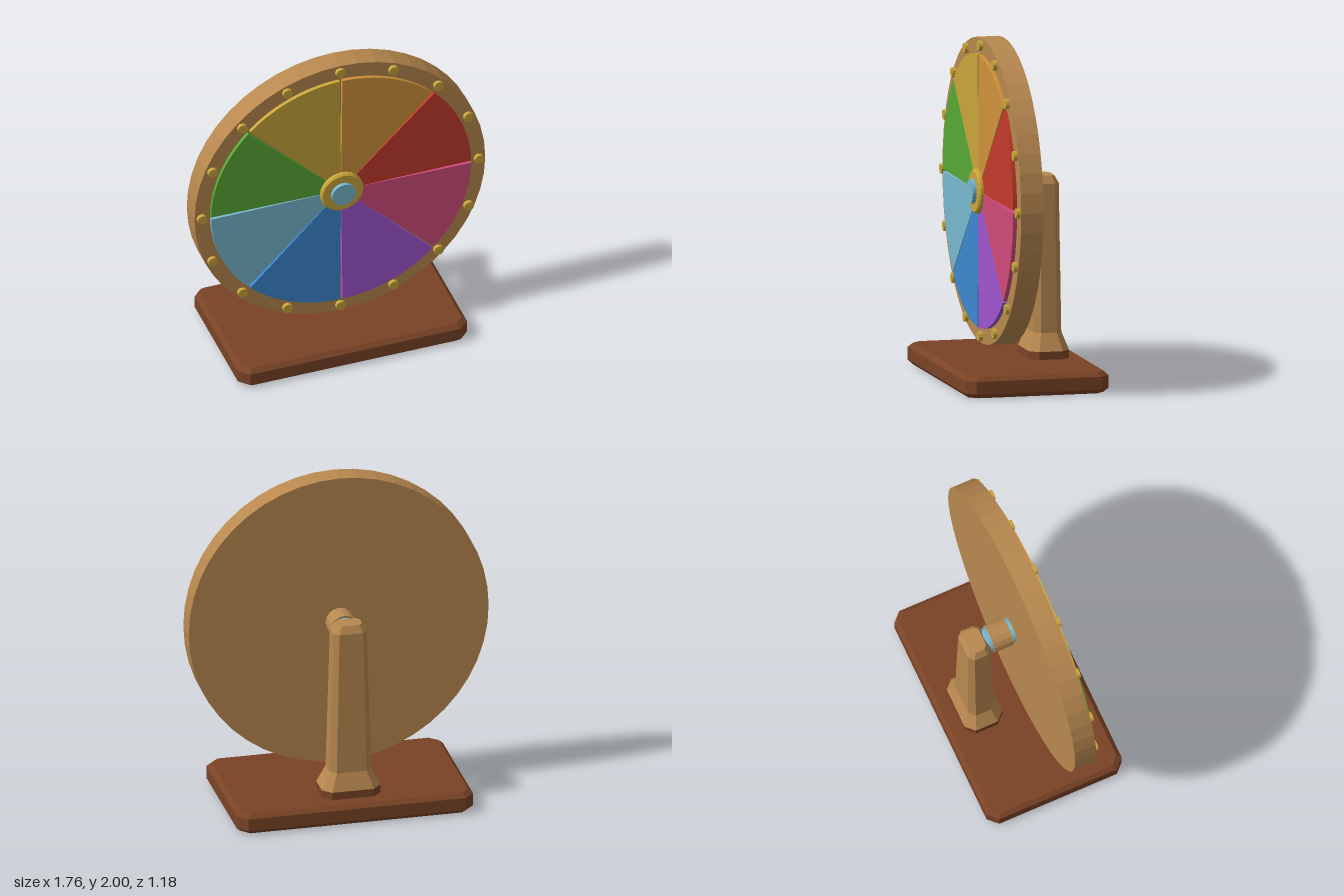
import * as THREE from 'three';

const mat = (name, color) => {
  const m = new THREE.MeshStandardMaterial({ color });
  m.name = name;
  return m;
};

// Facet a geometry so every face is flat
function flat(geometry) {
  const g = geometry.index ? geometry.toNonIndexed() : geometry;
  g.computeVertexNormals();
  return g;
}

// Stack of corner-cut rectangles, each [y, halfWidth, halfDepth, cornerCut]
function cutBlock(sections) {
  const rings = sections.map(([y, w, d, c]) => [
    [w, d - c], [w, c - d], [w - c, -d], [c - w, -d],
    [-w, c - d], [-w, d - c], [c - w, d], [w - c, d],
  ].map(([x, z]) => [x, y, z]));
  const pos = [];
  const tri = (...pts) => pts.forEach((p) => pos.push(...p));
  for (let k = 0; k + 1 < rings.length; k++) {
    const a = rings[k], b = rings[k + 1];
    for (let i = 0; i < 8; i++) {
      const j = (i + 1) % 8;
      tri(a[i], a[j], b[j]);
      tri(a[i], b[j], b[i]);
    }
  }
  const bottom = rings[0], top = rings[rings.length - 1];
  for (let i = 1; i < 7; i++) {
    tri(top[0], top[i], top[i + 1]);
    tri(bottom[0], bottom[i + 1], bottom[i]);
  }
  const g = new THREE.BufferGeometry();
  g.setAttribute('position', new THREE.Float32BufferAttribute(pos, 3));
  g.computeVertexNormals();
  return g;
}

// Disc or cone slice lying along z, from z0 (back) to z1 (front)
function disc(rBack, rFront, z0, z1, sides) {
  const g = new THREE.CylinderGeometry(rFront, rBack, z1 - z0, sides);
  g.rotateX(Math.PI / 2).translate(0, 0, (z0 + z1) / 2);
  return flat(g);
}

export function createModel() {
  const wood = mat('light wood', 0xb8884f);
  const brown = mat('dark wood', 0x7a4326);
  const gold = mat('gold', 0xcaa63a);
  const paleBlue = mat('pale blue', 0x78b8d0);
  const red = mat('red', 0xc43a2c);
  const orange = mat('orange', 0xd0923a);
  const green = mat('green', 0x57a935);
  const blue = mat('blue', 0x3b88d0);
  const purple = mat('purple', 0xa056d0);
  const pink = mat('pink', 0xd04b7b);

  const stand = new THREE.Group();
  stand.name = 'prizeWheel';
  const add = (parent, name, geometry, material) => {
    const m = new THREE.Mesh(geometry, material);
    m.name = name;
    parent.add(m);
    return m;
  };

  // Base board with bevelled edges
  add(stand, 'base', cutBlock([
    [0, 0.68, 0.405, 0.05], [0.025, 0.705, 0.43, 0.056],
    [0.1, 0.705, 0.43, 0.056], [0.125, 0.68, 0.405, 0.05],
  ]), brown);

  // Post behind the wheel: plinth, flared foot, tapering shaft, bevelled cap
  const postZ = -0.213;
  add(stand, 'postPlinth', cutBlock([
    [0.12, 0.175, 0.12, 0.05], [0.172, 0.175, 0.12, 0.05],
  ]), brown).position.z = postZ;
  add(stand, 'post', cutBlock([
    [0.172, 0.175, 0.12, 0.05], [0.275, 0.125, 0.083, 0.036],
    [1.145, 0.1, 0.073, 0.03], [1.19, 0.075, 0.05, 0.022],
  ]), wood).position.z = postZ;

  // Everything that turns about the axle
  const wheel = new THREE.Group();
  wheel.name = 'wheel';
  wheel.position.y = 1.105;
  stand.add(wheel);
  add(wheel, 'wheelDisc', disc(0.895, 0.895, 0.023, 0.157, 48), wood);
  add(wheel, 'axle', disc(0.073, 0.073, -0.16, 0.23, 20), paleBlue);
  add(wheel, 'axleCollar', disc(0.085, 0.085, -0.12, 0.0, 16), wood);
  add(wheel, 'hub', disc(0.132, 0.132, 0.157, 0.197, 24), gold);
  add(wheel, 'hubBevel', disc(0.132, 0.122, 0.197, 0.207, 24), gold);

  // Coloured wedges, counter-clockwise from the model's left
  const gap = 0.01;
  [red, orange, gold, green, paleBlue, blue, purple, pink].forEach((m, i) => {
    const a = i * Math.PI / 4 + gap, b = (i + 1) * Math.PI / 4 - gap;
    const s = new THREE.Shape();
    s.absarc(0, 0, 0.8, a, b, false);
    s.absarc(0, 0, 0.1, b, a, true);
    s.closePath();
    const g = new THREE.ExtrudeGeometry(s, { depth: 0.023, bevelEnabled: false, curveSegments: 8 });
    add(wheel, 'wedge' + (i + 1), g, m).position.z = 0.157;
  });

  // Ring of studs on the rim
  const studGeometry = disc(0.03, 0.03, 0.15, 0.18, 12);
  for (let i = 0; i < 16; i++) {
    const a = i * Math.PI / 8;
    add(wheel, 'stud' + (i + 1), studGeometry, gold)
      .position.set(0.853 * Math.cos(a), 0.853 * Math.sin(a), 0);
  }

  // The whole piece stands turned a little towards its left
  stand.rotation.y = 0.277;
  stand.position.x = -0.027;
  const model = new THREE.Group();
  model.name = 'model';
  model.add(stand);
  return model;
}
